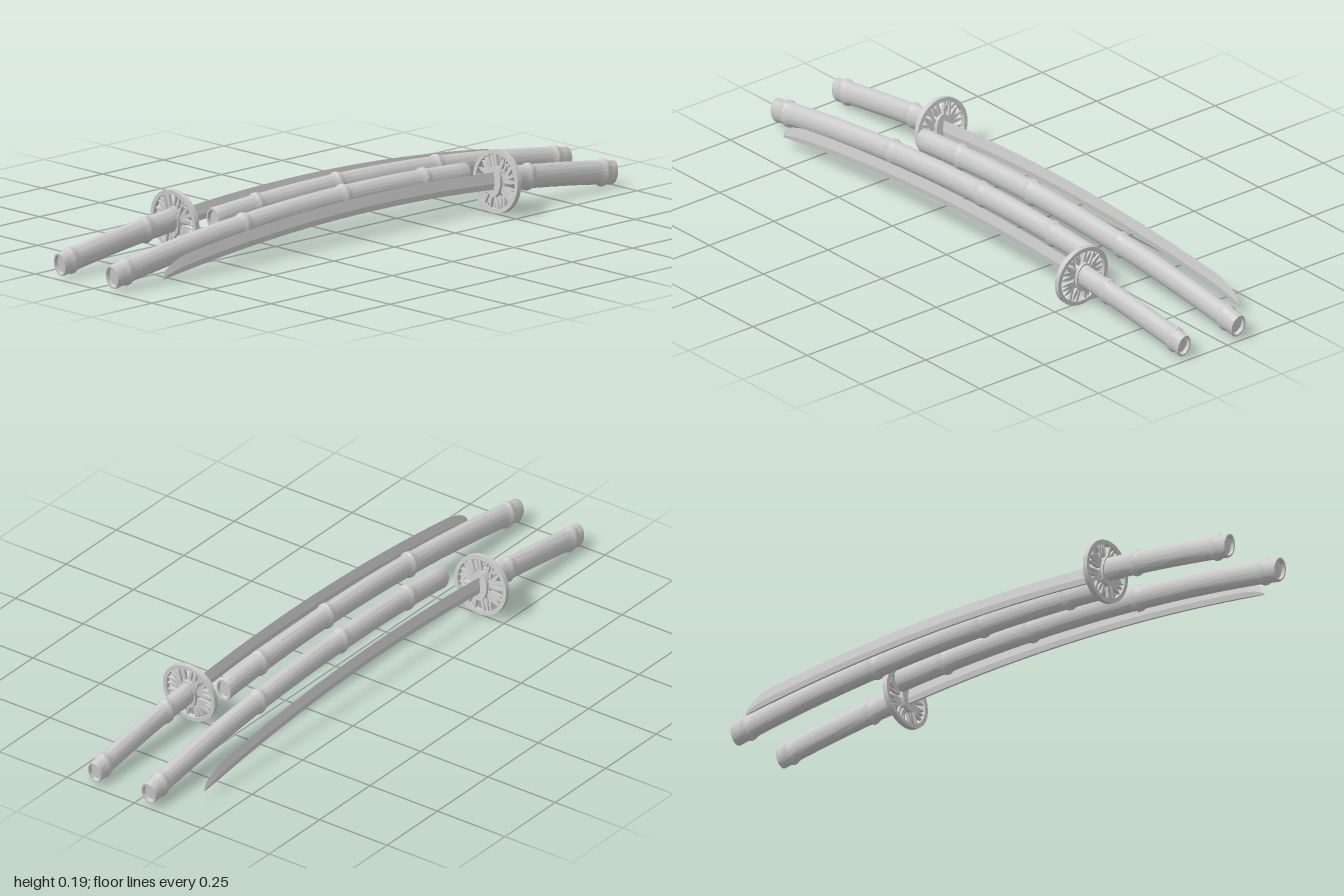
import * as THREE from 'three';
import { mergeGeometries, toCreasedNormals } from 'three/addons/utils/BufferGeometryUtils.js';

const steel = new THREE.MeshStandardMaterial({ color: 0xcccccc });
steel.name = 'pale grey';
const CURVE = 0.083;

function mesh(name, geometry) {
  const m = new THREE.Mesh(geometry, steel);
  m.name = name;
  return m;
}

// Bends a straight part along the shallow arc, keeping sections square to it
function bend(geometry, height, crease = 0.6) {
  const p = geometry.attributes.position;
  for (let i = 0; i < p.count; i++) {
    const y = p.getY(i), z = p.getZ(i);
    p.setY(i, y + height - CURVE * z * z);
    p.setZ(i, z + 2 * CURVE * z * y);
  }
  return toCreasedNormals(geometry, crease);
}

// Oval bamboo cane from z0 to z1 with raised nodes and recessed ends
function cane(z0, z1, nodes, rx, ry, height) {
  const lip = 0.82, deep = 0.012;
  const body = [];
  const knot = [[-0.022, 1], [-0.01, 1.06], [-0.005, 1.15], [0.005, 1.15], [0.009, 1.05], [0.025, 1]];
  for (const n of nodes) for (const [dz, r] of knot) body.push([n + dz, r]);
  for (let z = z0 + 0.03; z < z1 - 0.02; z += 0.06) {
    if (nodes.every((n) => Math.abs(z - n) > 0.03)) body.push([z, 1]);
  }
  body.sort((a, b) => a[0] - b[0]);
  const profile = [
    [z0 + deep, 0], [z0 + deep, lip - 0.04], [z0, lip], [z0, 0.98], [z0 + 0.004, 1.02],
    ...body,
    [z1 - 0.004, 1.02], [z1, 0.98], [z1, lip], [z1 - deep, lip - 0.04], [z1 - deep, 0],
  ].map(([z, r]) => new THREE.Vector2(r, z));
  const g = new THREE.LatheGeometry(profile, 40);
  g.rotateX(Math.PI / 2).scale(rx, ry, 1);
  return bend(g, height);
}

// Ridged blade: edge on the outer curve, spine on the inner, tip swept down to the spine
function bladeGeometry(height) {
  const pos = [], index = [], N = 40, zStart = 0.5, zTip = -0.87, n = 5;
  for (let i = 0; i <= N; i++) {
    const z = i < 26 ? zStart + (-0.75 - zStart) * (i / 26) : -0.75 + (zTip + 0.75) * ((i - 26) / (N - 26));
    const u = Math.max(0, (-0.75 - z) / 0.12);
    const k = Math.max(0.01, Math.sqrt(Math.max(0, 1 - u * u)));
    const low = -0.026, tall = (0.052 - 0.004 * i / N) * k, w = 0.006 * Math.min(1, k + 0.1);
    pos.push(0, low + tall, z, -w, low + tall * 0.35, z, -w * 0.6, low, z,
      w * 0.6, low, z, w, low + tall * 0.35, z);
    if (i === N) break;
    for (let j = 0; j < n; j++) {
      const a = i * n + j, b = i * n + (j + 1) % n;
      index.push(a, a + n, b, b, a + n, b + n);
    }
  }
  for (let j = 1; j < n - 1; j++) index.push(0, j, j + 1, N * n, N * n + j + 1, N * n + j);
  const g = new THREE.BufferGeometry();
  g.setAttribute('position', new THREE.Float32BufferAttribute(pos, 3));
  g.setIndex(index);
  return bend(g, height, 0.3);
}

function plate(shape, depth) {
  return new THREE.ExtrudeGeometry(shape, { depth, bevelEnabled: false, curveSegments: 32 })
    .translate(0, 0, -depth / 2);
}

// Pointed leaf from a stalk point towards the rim
function leaf(x0, y0, x1, y1, w) {
  const dx = x1 - x0, dy = y1 - y0, l = Math.hypot(dx, dy);
  const s = new THREE.Shape();
  s.moveTo(0, -0.0015);
  s.quadraticCurveTo(l * 0.35, -w, l, 0);
  s.quadraticCurveTo(l * 0.35, w, 0, 0.0015);
  const g = new THREE.ExtrudeGeometry(s, { depth: 0.009, bevelEnabled: false, curveSegments: 6 });
  return g.translate(0, 0, -0.0045).rotateZ(Math.atan2(dy, dx)).translate(x0, y0, 0);
}

function stalk(x0, y0, x1, y1, w) {
  const l = Math.hypot(x1 - x0, y1 - y0);
  return new THREE.BoxGeometry(l, w, 0.01).rotateZ(Math.atan2(y1 - y0, x1 - x0))
    .translate((x0 + x1) / 2, (y0 + y1) / 2, 0);
}

// Round openwork guard with bamboo stalks and leaves
function guard() {
  const g = new THREE.Group();
  g.name = 'guard';
  const ring = new THREE.Shape().absarc(0, 0, 0.096, 0, Math.PI * 2);
  ring.holes.push(new THREE.Path().absarc(0, 0, 0.083, 0, Math.PI * 2, true));
  g.add(mesh('guardRim', toCreasedNormals(plate(ring, 0.016), 0.6)));

  const collar = new THREE.Shape().absellipse(0, 0, 0.029, 0.047, 0, Math.PI * 2);
  g.add(mesh('guardCollar', toCreasedNormals(plate(collar, 0.03), 0.6)));

  const stalks = [
    [-0.042, -0.074, -0.022, 0.03, 0.007], [-0.03, 0.02, -0.038, 0.076, 0.006],
    [-0.016, -0.084, -0.004, -0.04, 0.008], [0.002, 0.04, 0.012, 0.085, 0.008],
    [0.02, -0.082, 0.012, -0.03, 0.007], [0.022, 0.02, 0.044, 0.074, 0.007],
    [0.044, -0.072, 0.022, -0.02, 0.006], [-0.012, 0.04, -0.018, 0.084, 0.005],
  ];
  g.add(mesh('guardStalks', mergeGeometries(stalks.map((s) => stalk(...s)))));

  const leaves = [];
  for (const s of [-1, 1]) {
    leaves.push(
      leaf(s * 0.024, 0.012, s * 0.08, 0.03, 0.012), leaf(s * 0.03, 0.016, s * 0.066, 0.055, 0.012),
      leaf(s * 0.024, 0.005, s * 0.084, 0.008, 0.011), leaf(s * 0.02, -0.02, s * 0.08, -0.03, 0.012),
      leaf(s * 0.024, -0.026, s * 0.07, -0.05, 0.012), leaf(s * 0.022, -0.014, s * 0.082, -0.014, 0.009),
      leaf(s * 0.012, 0.038, s * 0.03, 0.079, 0.011), leaf(s * 0.034, 0.05, s * 0.058, 0.064, 0.009),
      leaf(s * 0.014, -0.04, s * 0.032, -0.078, 0.01),
    );
  }
  g.add(mesh('guardLeaves', mergeGeometries(leaves)));
  g.position.set(0, 0.097, 0.512);
  g.rotation.x = 2 * CURVE * 0.5;
  return g;
}

function sword(name) {
  const g = new THREE.Group();
  g.name = name;
  g.add(mesh('handle', cane(0.515, 0.988, [0.635, 0.945], 0.0245, 0.036, 0.124)));
  g.add(mesh('blade', bladeGeometry(0.121)));
  g.add(guard());
  return g;
}

function scabbard(name) {
  const g = new THREE.Group();
  g.name = name;
  g.add(mesh('scabbardCane', cane(-0.994, 0.462, [-0.94, -0.455, -0.045, 0.285], 0.0265, 0.0365, 0.128)));
  return g;
}

export function createModel() {
  const model = new THREE.Group();
  model.name = 'pairOfBambooSwords';
  // Two matching sets laid head to tail
  [[-0.158, -0.048, 0], [0.157, 0.072, Math.PI]].forEach(([xs, xc, turn], i) => {
    const s = sword(i ? 'leftSword' : 'rightSword');
    const c = scabbard(i ? 'leftScabbard' : 'rightScabbard');
    s.position.x = xs;
    c.position.x = xc;
    s.rotation.y = c.rotation.y = turn;
    model.add(s, c);
  });
  return model;
}
